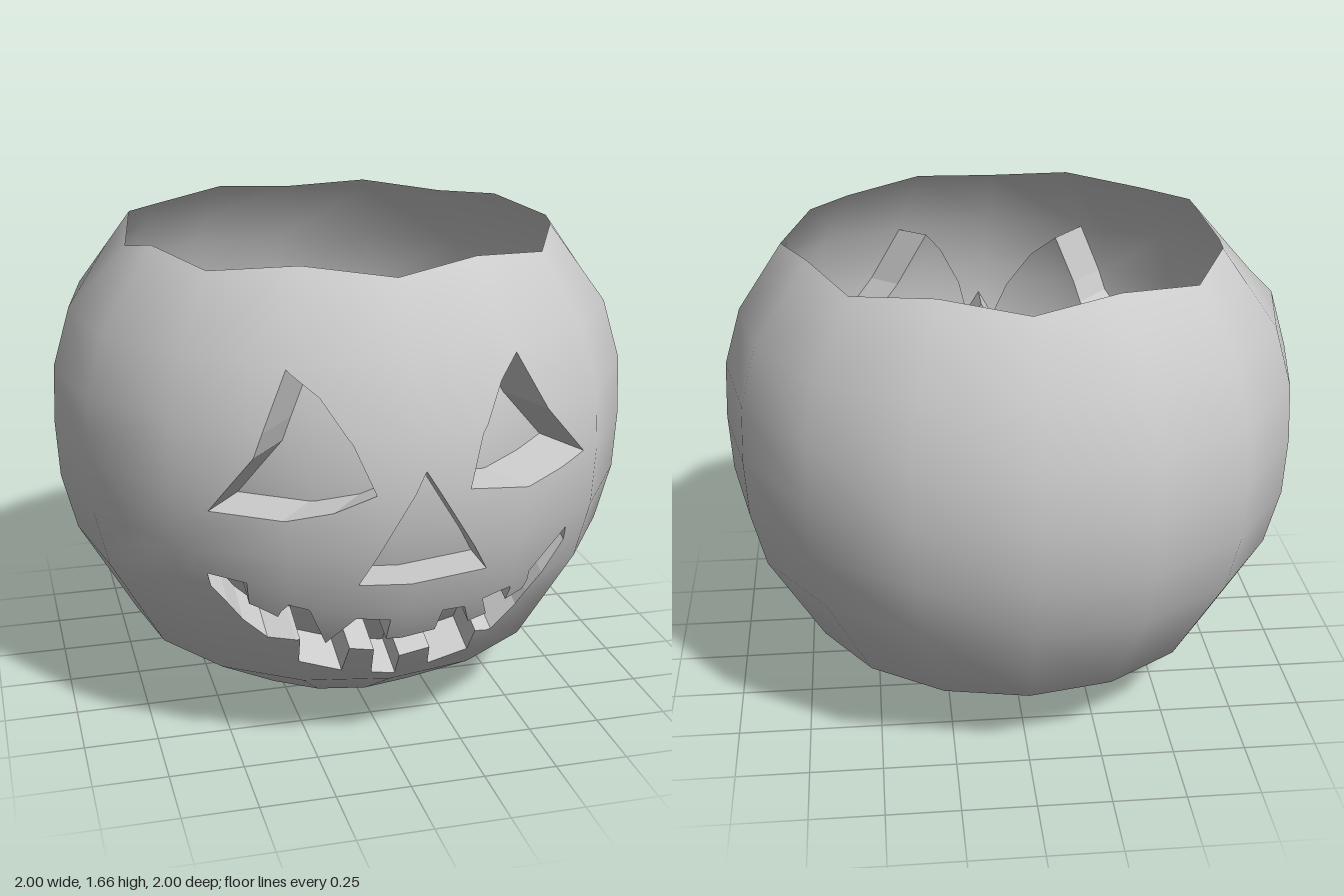
import * as THREE from 'three';

const V = (x, y, z = 0) => new THREE.Vector3(x, y, z);
const SIDES = 16;
// Profile rows of the bowl: radius, height
const profile = [[0, 0], [0.43, 0.06], [0.745, 0.26], [0.94, 0.6], [0.99, 0.8],
  [1, 1], [0.99, 1.2], [0.93, 1.4], [0.775, 1.63]];
const ROWS = profile.length - 1;

// Lattice corner: side k (0 faces the front), row j; the rim is scalloped with one dent
function corner(k, j) {
  let [r, y] = profile[j];
  if (j === ROWS && k % 2 !== 0) [r, y] = [0.735, 1.66];
  if (j === ROWS && k === -4) [r, y] = [0.73, 1.6];
  const a = k * 2 * Math.PI / SIDES;
  return V(r * Math.sin(a), y, r * Math.cos(a));
}

// Point on the faceted bowl at lattice coordinates (u, t)
function onBowl(u, t) {
  const k = Math.min(Math.floor(u), SIDES / 2 - 1), j = Math.min(Math.floor(t), ROWS - 1);
  const low = corner(k, j).lerp(corner(k + 1, j), u - k);
  const high = corner(k, j + 1).lerp(corner(k + 1, j + 1), u - k);
  return low.lerp(high, t - j);
}

// Lattice coordinates of a point drawn on the front
function toLattice([x, y]) {
  let j = 0;
  while (j < ROWS - 1 && profile[j + 1][1] < y) j++;
  const f = (y - profile[j][1]) / (profile[j + 1][1] - profile[j][1]);
  const r = profile[j][0] + f * (profile[j + 1][0] - profile[j][0]);
  return new THREE.Vector2(Math.asin(x / r) * SIDES / (2 * Math.PI), j + f);
}

// Part of a convex polygon on one side of a lattice line
function clip(poly, axis, line, sign) {
  const out = [];
  poly.forEach((a, i) => {
    const b = poly[(i + 1) % poly.length];
    const da = sign * (a[axis] - line), db = sign * (b[axis] - line);
    if (da >= 0) out.push(a);
    if (da * db < 0) out.push(a.clone().lerp(b, da / (da - db)));
  });
  return out;
}

// Cut polygons along all the lattice lines
function slice(polys) {
  for (const [axis, from, to] of [['x', -SIDES / 2, SIDES / 2], ['y', 0, ROWS]]) {
    const pieces = [];
    for (const p of polys) {
      for (let i = from; i < to; i++) {
        const cell = clip(clip(p, axis, i, 1), axis, i + 1, -1);
        if (cell.length > 2) pieces.push(cell);
      }
    }
    polys = pieces;
  }
  return polys;
}

// Bend lattice polygons (z = depth 0..1 along the inset) onto the bowl
function bend(name, polys, inset, smooth) {
  const pos = [], nor = [];
  for (const p of slice(polys)) {
    for (let i = 1; i < p.length - 1; i++) {
      for (const q of [p[0], p[i], p[i + 1]]) {
        const s = onBowl(q.x, q.y);
        const n = s.clone().sub(V(0, 1, 0)).normalize();
        s.addScaledVector(inset, q.z);
        pos.push(s.x, s.y, s.z);
        nor.push(n.x, n.y, n.z);
      }
    }
  }
  const g = new THREE.BufferGeometry();
  g.setAttribute('position', new THREE.Float32BufferAttribute(pos, 3));
  if (smooth) g.setAttribute('normal', new THREE.Float32BufferAttribute(nor, 3));
  else g.computeVertexNormals();
  const mesh = new THREE.Mesh(g, new THREE.MeshStandardMaterial({ color: 0xcccccc, side: THREE.DoubleSide }));
  mesh.name = name;
  return mesh;
}

// Triangles of a flat outline with holes, at a given depth
function fill(outline, holes, depth) {
  const all = [outline, ...holes].flat();
  return THREE.ShapeUtils.triangulateShape(outline, holes)
    .map(f => f.map(i => V(all[i].x, all[i].y, depth)));
}

// Face cut-outs as front outlines, with the direction each one is pressed in
const features = [
  { name: 'rightEye', inset: V(0.12, 0.0, -0.14), points: [
    [-0.37, 1.39], [-0.48, 1.12], [-0.61, 0.93], [-0.4, 0.93], [-0.25, 0.955],
    [-0.12, 1.01], [-0.19, 1.17], [-0.28, 1.31]] },
  { name: 'leftEye', inset: V(-0.1, 0.02, -0.14), points: [
    [0.355, 1.395], [0.3, 1.32], [0.23, 1.17], [0.19, 1.0], [0.4, 0.97],
    [0.55, 0.985], [0.65, 1.01], [0.48, 1.2]] },
  { name: 'nose', inset: V(0, 0, -0.15), points: [[0.035, 1.08], [-0.165, 0.7], [0.265, 0.705]] },
  { name: 'mouth', inset: V(0, 0.05, -0.15), points: [
    // upper edge, then lower edge back
    [-0.61, 0.705], [-0.5, 0.69], [-0.49, 0.61], [-0.4, 0.57], [-0.37, 0.63], [-0.31, 0.61],
    [-0.24, 0.45], [-0.16, 0.565], [-0.05, 0.555], [-0.05, 0.465], [0.12, 0.475], [0.13, 0.565],
    [0.21, 0.56], [0.24, 0.48], [0.3, 0.5], [0.27, 0.58], [0.36, 0.61], [0.36, 0.55],
    [0.44, 0.56], [0.45, 0.635], [0.6, 0.75],
    [0.6, 0.7], [0.47, 0.53], [0.44, 0.48], [0.35, 0.4], [0.28, 0.42], [0.27, 0.33],
    [0.13, 0.3], [0.12, 0.385], [0.01, 0.375], [0.01, 0.29], [-0.07, 0.295], [-0.08, 0.41],
    [-0.16, 0.42], [-0.17, 0.31], [-0.31, 0.36], [-0.32, 0.47], [-0.42, 0.46], [-0.5, 0.53], [-0.6, 0.66]] },
];

export function createModel() {
  const model = new THREE.Group();
  model.name = 'carvedPumpkinBowl';
  const holes = features.map(f => {
    const pts = f.points.map(toLattice);
    return THREE.ShapeUtils.isClockWise(pts) ? pts.reverse() : pts;
  });

  // Open bowl with the face cut out
  const h = SIDES / 2;
  const sheet = [[-h, 0], [h, 0], [h, ROWS], [-h, ROWS]].map(p => new THREE.Vector2(...p));
  model.add(bend('bowl', fill(sheet, holes.map(p => p.slice().reverse()), 0), V(0, 0, 0), true));

  // Recessed pockets: side walls and floor
  features.forEach(({ name, inset }, n) => {
    const pts = holes[n], walls = [];
    pts.forEach((a, i) => {
      const b = pts[(i + 1) % pts.length];
      walls.push([V(a.x, a.y, 0), V(b.x, b.y, 0), V(b.x, b.y, 1), V(a.x, a.y, 1)]);
    });
    const pocket = new THREE.Group();
    pocket.name = name;
    pocket.add(bend(name + 'Walls', walls, inset, false), bend(name + 'Floor', fill(pts, [], 1), inset, true));
    model.add(pocket);
  });
  return model;
}
